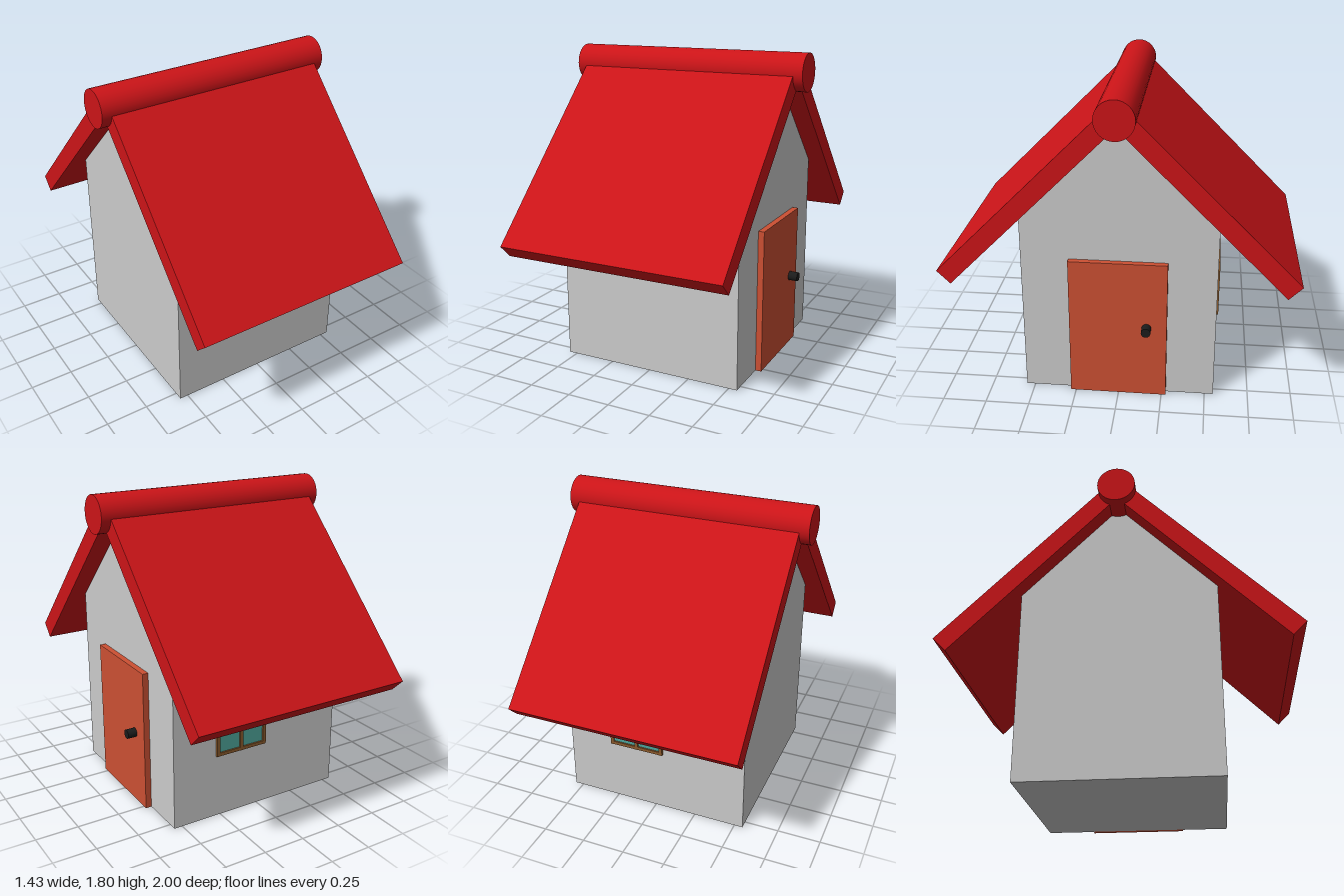
import * as THREE from 'three';

const mat = (color) => new THREE.MeshStandardMaterial({ color });

function add(parent, name, geometry, material, x = 0, y = 0, z = 0) {
  const mesh = new THREE.Mesh(geometry, material);
  mesh.name = name;
  mesh.position.set(x, y, z);
  parent.add(mesh);
  return mesh;
}

// Extrudes a [z, y] profile along x, centred on x = 0
function extrudeAlongX(points, width) {
  const shape = new THREE.Shape(points.map(([z, y]) => new THREE.Vector2(-z, y)));
  return new THREE.ExtrudeGeometry(shape, { depth: width, bevelEnabled: false })
    .translate(0, 0, -width / 2)
    .rotateY(Math.PI / 2);
}

export function createModel() {
  const house = new THREE.Group();
  house.name = 'house';
  const wall = mat(0xcccccc);
  const red = mat(0xcc1418);
  const doorColor = mat(0xcc5033);
  const black = mat(0x1c1c1c);
  const wood = mat(0x8a5a2c);
  const glass = mat(0x4fa59b);

  // Walls with gabled ends
  add(house, 'walls', extrudeAlongX(
    [[-0.55, 0], [0.55, 0], [0.55, 1.085], [0, 1.635], [-0.55, 1.085]], 1.1), wall);

  // Two roof slabs meeting under the ridge
  for (const s of [1, -1]) {
    const profile = [[1, 0.785], [0, 1.785], [0, 1.635], [0.925, 0.71]];
    add(house, s > 0 ? 'frontRoofSlab' : 'backRoofSlab',
      extrudeAlongX(profile.map(([z, y]) => [s * z, y]), 1.32), red);
  }

  // Round ridge log
  add(house, 'ridge',
    new THREE.CylinderGeometry(0.108, 0.108, 1.43, 32).rotateZ(Math.PI / 2), red, 0, 1.692, 0);

  // Door and knob on the gable end
  add(house, 'door', new THREE.BoxGeometry(0.04, 0.84, 0.555), doorColor, 0.565, 0.42, 0.0025);
  add(house, 'doorKnob',
    new THREE.CylinderGeometry(0.027, 0.027, 0.06, 24).rotateZ(Math.PI / 2), black, 0.61, 0.442, -0.16);

  // Four-pane window on the back wall
  const frame = new THREE.Group();
  frame.name = 'window';
  frame.position.set(0.115, 0.553, -0.55);
  house.add(frame);
  const w = 0.33, h = 0.35, bar = 0.02;
  add(frame, 'glass', new THREE.BoxGeometry(w - bar, h - bar, 0.01), glass);
  for (const s of [-1, 0, 1]) {
    add(frame, 'verticalBar', new THREE.BoxGeometry(bar, h, 0.03), wood, s * (w - bar) / 2, 0, 0);
    add(frame, 'horizontalBar', new THREE.BoxGeometry(w, bar, 0.028), wood, 0, s * (h - bar) / 2, 0);
  }
  return house;
}
